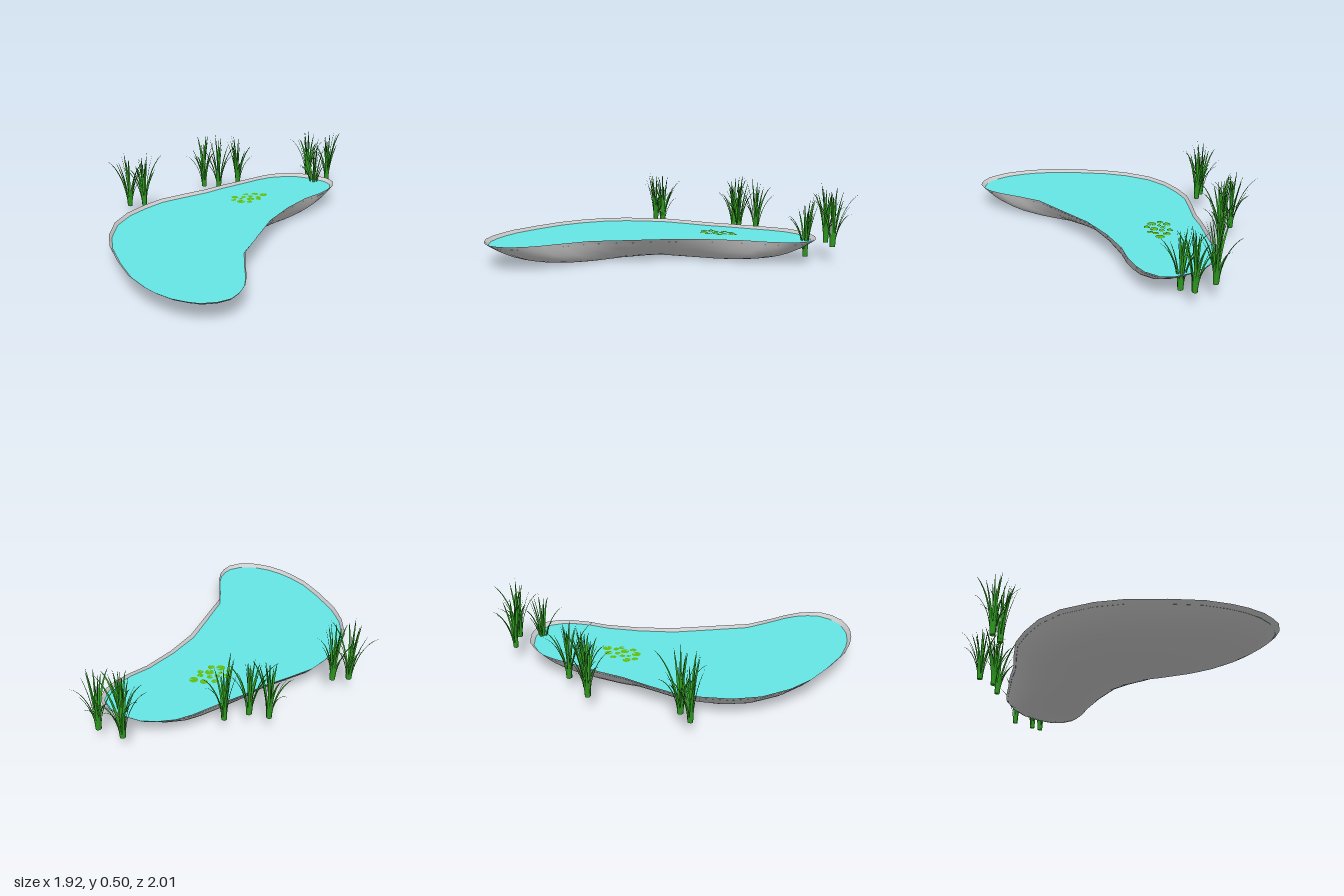
import * as THREE from 'three';
import { mergeGeometries } from 'three/addons/utils/BufferGeometryUtils.js';

const CENTRE = [-0.25, -0.13];
const RIM_Y = 0.155;
const WATER_Y = 0.134;
const WATER_SCALE = 0.977;

// Shoreline as x, z pairs, running left, back, right, front
const SHORE = [
  [-0.96, 0.15], [-0.945, -0.02], [-0.885, -0.21], [-0.785, -0.35], [-0.65, -0.46], [-0.52, -0.54],
  [-0.35, -0.59], [-0.17, -0.635], [-0.03, -0.69], [0.15, -0.745], [0.3, -0.795], [0.4, -0.815],
  [0.5, -0.805], [0.6, -0.775], [0.7, -0.695], [0.77, -0.6], [0.785, -0.52], [0.745, -0.43],
  [0.68, -0.37], [0.59, -0.31], [0.46, -0.25], [0.28, -0.12], [0.11, 0.04], [0, 0.19],
  [-0.11, 0.34], [-0.2, 0.46], [-0.25, 0.63], [-0.285, 0.77], [-0.32, 0.86], [-0.37, 0.93],
  [-0.43, 0.98], [-0.51, 0.995], [-0.6, 0.98], [-0.66, 0.945], [-0.73, 0.89], [-0.8, 0.8],
  [-0.85, 0.71], [-0.905, 0.57], [-0.94, 0.37],
];

// Shoreline shrunk toward its centre; the narrow waist slopes in faster near the rim
function shoreAt(s) {
  return SHORE.map(([x, z]) => {
    const dx = x - CENTRE[0], dz = z - CENTRE[1];
    const k = Math.max(0, 0.72 / Math.hypot(dx, dz) - 1);
    const f = 1 - (1 - s) * (1 + k * s);
    return [CENTRE[0] + dx * f, CENTRE[1] + dz * f];
  });
}

function gridGeometry(rows, closed) {
  const n = rows[0].length;
  const index = [];
  for (let j = 0; j < rows.length - 1; j++) {
    for (let i = 0; i < (closed ? n : n - 1); i++) {
      const k = (i + 1) % n;
      const a = j * n + i, b = j * n + k, c = a + n, d = b + n;
      index.push(a, b, c, b, d, c);
    }
  }
  const g = new THREE.BufferGeometry();
  g.setAttribute('position', new THREE.Float32BufferAttribute(rows.flat(2), 3));
  g.setIndex(index);
  g.computeVertexNormals();
  return g;
}

// Bowl: rings drop along a power curve to a flat bottom
function basinGeometry() {
  const scales = [1, 0.96, 0.92, 0.87, 0.81, 0.74, 0.66, 0.57, 0.45, 0.25, 0.001];
  return gridGeometry(scales.map((s) =>
    shoreAt(s).map(([x, z]) => [x, RIM_Y * Math.pow(s, 6), z])), true);
}

function waterGeometry() {
  const shape = new THREE.Shape(shoreAt(WATER_SCALE).map(([x, z]) => new THREE.Vector2(x, -z)));
  return new THREE.ShapeGeometry(shape).rotateX(-Math.PI / 2).translate(0, WATER_Y, 0);
}

// Arching V-section blade, leaning along +x
function bladeGeometry(start, height, reach, droop) {
  const rows = [];
  const steps = 8;
  for (let j = 0; j <= steps; j++) {
    const t = j / steps;
    const w = 0.011 * (0.75 + 0.5 * t) * Math.pow(1 - t, 0.7) + 0.0003;
    const x = start + reach * Math.pow(t, 1.9);
    const y = height * t - droop * Math.pow(t, 4);
    rows.push([[x, y, -w], [x + w * 0.4, y - w * 0.1, 0], [x, y, w]]);
  }
  return gridGeometry(rows, false);
}

// Reed tuft: upright, leaning and drooping blades
function tuftGeometry() {
  const blades = [];
  for (let i = 0; i < 15; i++) {
    const vary = ((i * 7) % 5) / 4;
    const blade = [
      () => bladeGeometry(0.002, 0.31 + 0.09 * vary, 0.01 + 0.035 * vary, 0),
      () => bladeGeometry(0.012, 0.28 + 0.1 * vary, 0.09 - 0.03 * vary, 0.01),
      () => bladeGeometry(0.014, 0.27 + 0.14 * vary, 0.11 + 0.035 * vary, 0.06),
    ][i % 3]();
    blades.push(blade.rotateY(i * 2.4 + vary * 0.5));
  }
  return mergeGeometries(blades);
}

export function createModel() {
  const group = new THREE.Group();
  const material = (color) => new THREE.MeshStandardMaterial({ color, side: THREE.DoubleSide });
  const add = (name, geometry, mat, parent = group) => {
    const mesh = new THREE.Mesh(geometry, mat);
    mesh.name = name;
    parent.add(mesh);
    return mesh;
  };

  add('pondBasin', basinGeometry(), material(0xcccccc));
  add('waterSurface', waterGeometry(), material(0x66e6e6));

  // Lily pads: x, z, radius
  const pads = new THREE.Group();
  pads.name = 'lilyPads';
  group.add(pads);
  const padMaterial = material(0x62bc10);
  [
    [0, -0.46, 0.025], [0.09, -0.493, 0.02], [0.155, -0.48, 0.024], [0.21, -0.445, 0.028],
    [0.06, -0.445, 0.018], [0.108, -0.442, 0.018], [0.033, -0.415, 0.014], [0.16, -0.412, 0.019],
    [-0.025, -0.413, 0.02], [0.097, -0.392, 0.027], [0.017, -0.365, 0.028], [0.073, -0.343, 0.021],
    [0.15, -0.375, 0.019],
  ].forEach(([x, z, r], i) => {
    const disc = new THREE.CircleGeometry(r, 20, 0.2, Math.PI * 2 - 0.4).rotateX(-Math.PI / 2);
    const pad = add('lilyPad', disc, padMaterial, pads);
    pad.position.set(x, WATER_Y + 0.004, z);
    pad.rotation.y = i * 1.9;
  });

  // Reed tufts: x, base y, z
  const reeds = new THREE.Group();
  reeds.name = 'reeds';
  group.add(reeds);
  const tuft = tuftGeometry();
  const reedMaterial = material(0x2f9a20);
  [
    [-0.73, 0.1, -0.62], [-0.63, 0.1, -0.6], [-0.13, 0.1, -0.86], [-0.03, 0.1, -0.8],
    [0.12, 0.1, -0.81], [0.7, 0.1, -0.82], [0.82, 0.1, -0.715], [0.675, 0.03, -0.625],
  ].forEach(([x, y, z], i) => {
    const mesh = add('reedTuft', tuft, reedMaterial, reeds);
    mesh.position.set(x, y, z);
    mesh.rotation.y = i * 1.3;
  });

  return group;
}
